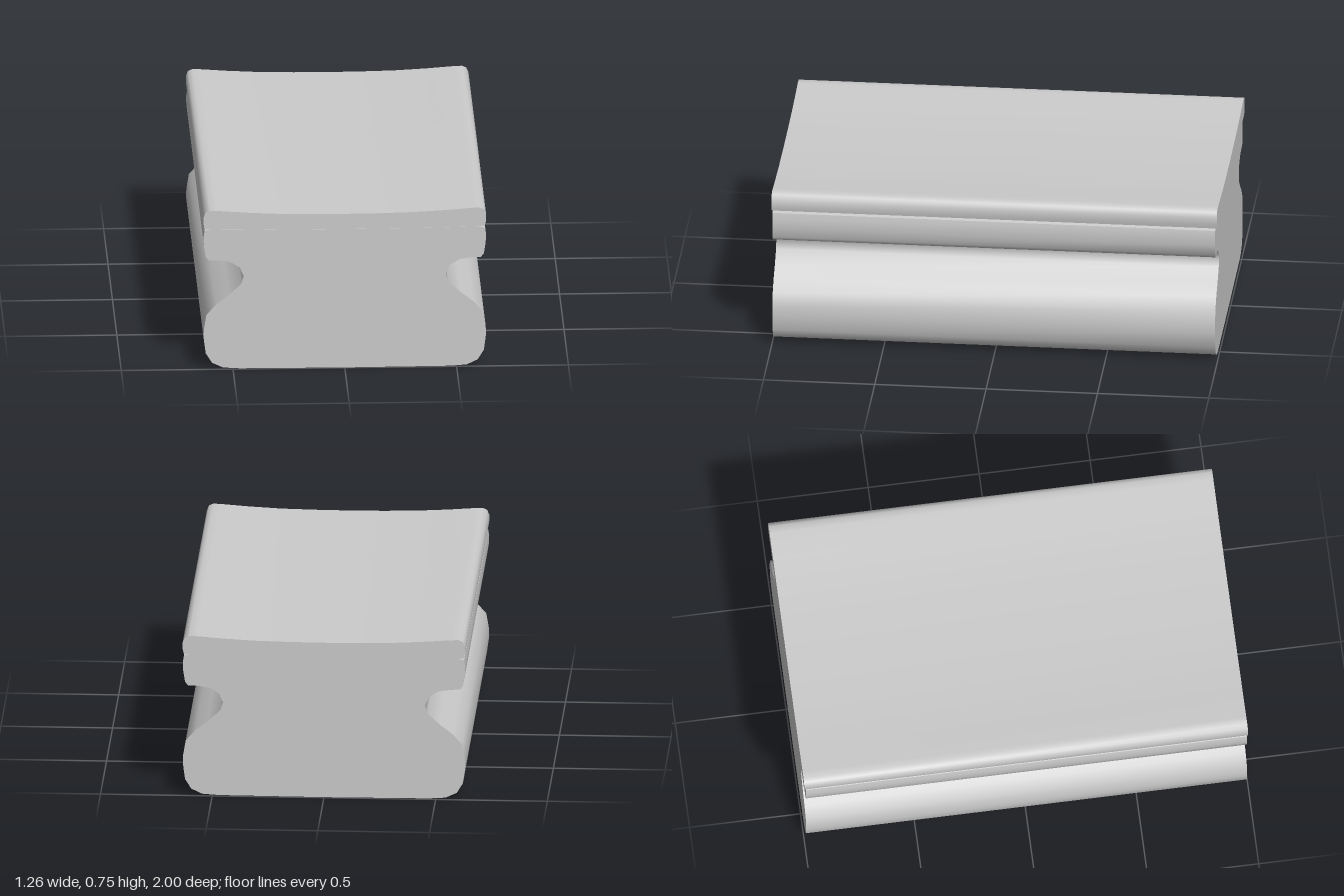
import * as THREE from 'three';
import { toCreasedNormals } from 'three/addons/utils/BufferGeometryUtils.js';

const material = new THREE.MeshStandardMaterial({ color: 0xcccccc });

// Mirrors a right-hand half profile (bottom to top) and extrudes it along z
function extrudeProfile(name, half, zBack, zFront) {
  const left = half.filter(([x]) => x > 0).reverse().map(([x, y]) => [-x, y]);
  const outline = [...half, ...left].map(([x, y]) => new THREE.Vector2(x, y));
  const geometry = new THREE.ExtrudeGeometry(new THREE.Shape(outline), {
    depth: zFront - zBack,
    bevelEnabled: false,
  });
  geometry.translate(0, 0, zBack);
  const mesh = new THREE.Mesh(toCreasedNormals(geometry, THREE.MathUtils.degToRad(55)), material);
  mesh.name = name;
  return mesh;
}

export function createModel() {
  const group = new THREE.Group();
  group.name = 'groovedBlock';

  // Body: rounded foot, grip groove, upper lip
  const body = [
    [0, 0], [0.47, 0.002], [0.545, 0.007], [0.594, 0.03], [0.622, 0.075],
    [0.632, 0.15], [0.63, 0.19], [0.619, 0.255], [0.575, 0.305],
    [0.52, 0.347], [0.463, 0.4], [0.452, 0.437], [0.47, 0.477], [0.513, 0.504],
    [0.57, 0.512], [0.609, 0.513], [0.622, 0.53], [0.63, 0.58], [0.632, 0.62],
    [0.627, 0.651], [0.6, 0.657], [0.4, 0.653], [0, 0.652],
  ];
  group.add(extrudeProfile('body', body, -0.992, 0.996));

  // Top plate: gently dished surface with rounded edges
  const plate = [
    [0, 0.654], [0.4, 0.655], [0.6, 0.659], [0.627, 0.663], [0.632, 0.685],
    [0.632, 0.716], [0.622, 0.739], [0.603, 0.747], [0.57, 0.746],
    [0.45, 0.737], [0.3, 0.729], [0.15, 0.726], [0, 0.725],
  ];
  group.add(extrudeProfile('topPlate', plate, -1, 1));

  return group;
}
